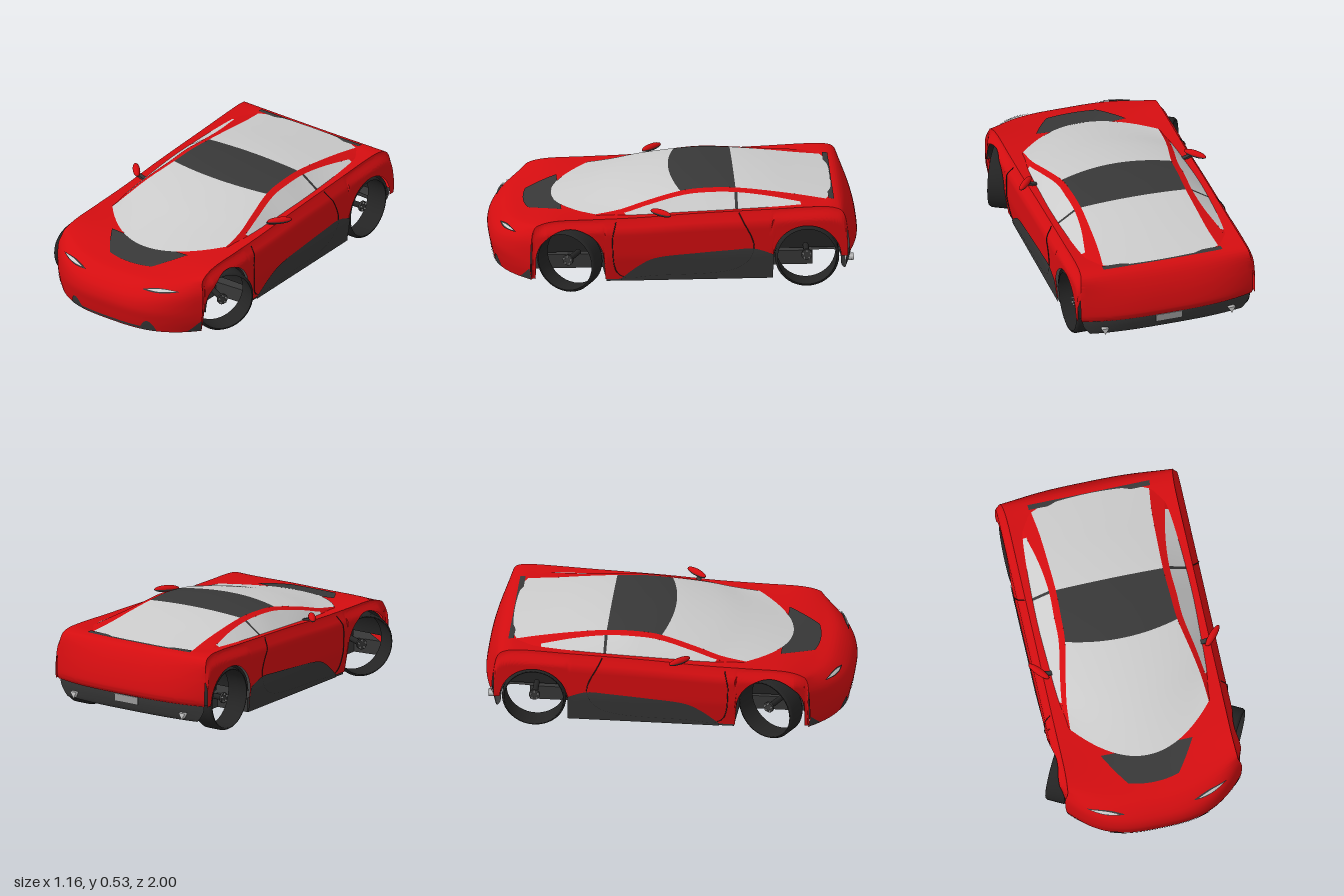
import * as THREE from 'three';
import { mergeGeometries, mergeVertices, toCreasedNormals } from 'three/addons/utils/BufferGeometryUtils.js';

const paint = (name, color) => new THREE.MeshStandardMaterial({ name, color, side: THREE.DoubleSide });
const red = paint('red paint', 0xd40d10);
const trim = paint('dark trim', 0x383838);
const rubber = paint('black rubber', 0x242424);
const glass = paint('pale glass', 0xcccccc);
const metal = paint('grey metal', 0x9a9a9a);

const clamp = (v) => Math.min(1, Math.max(0, v));
const mix = THREE.MathUtils.lerp;

// Smooth interpolation between the rows of a small table
function rowAt(rows, t) {
  const i = Math.min(rows.length - 2, Math.max(0, Math.floor(t))), f = t - i;
  const r = (k) => rows[Math.min(rows.length - 1, Math.max(0, k))];
  return rows[0].map((_, c) => {
    const [a, b, d, e] = [r(i - 1)[c], r(i)[c], r(i + 1)[c], r(i + 2)[c]];
    return b + 0.5 * f * (d - a + f * (2 * a - 5 * b + 4 * d - e + f * (3 * (b - d) + e - a)));
  });
}

// Surface grid from a rule (a, b in 0..1)
function grid(fn, na, nb) {
  const pos = [], idx = [];
  for (let i = 0; i <= na; i++) for (let j = 0; j <= nb; j++) {
    pos.push(...fn(i / na, j / nb));
    if (i < na && j < nb) {
      const p = i * (nb + 1) + j, q = p + nb + 1;
      idx.push(p, p + 1, q, p + 1, q + 1, q);
    }
  }
  const g = new THREE.BufferGeometry();
  g.setAttribute('position', new THREE.Float32BufferAttribute(pos, 3));
  g.setIndex(idx);
  g.computeVertexNormals();
  return g;
}

// Body centre line, nose bottom to tail bottom: z, centre y, edge y, half width, corner sweep
const BODY = [
  [0.975, 0.065, 0.065, 0.475, 0.19], [0.99, 0.13, 0.13, 0.485, 0.195], [1, 0.2, 0.2, 0.49, 0.205],
  [0.975, 0.265, 0.29, 0.49, 0.185], [0.9, 0.325, 0.345, 0.475, 0.12], [0.8, 0.347, 0.378, 0.47, 0.05],
  [0.65, 0.37, 0.4, 0.465, 0], [0.45, 0.388, 0.405, 0.465, 0], [0.2, 0.4, 0.412, 0.465, 0],
  [-0.1, 0.41, 0.43, 0.465, 0], [-0.5, 0.42, 0.445, 0.465, 0], [-0.75, 0.43, 0.455, 0.465, 0],
  [-0.86, 0.443, 0.45, 0.47, 0], [-0.92, 0.415, 0.42, 0.48, -0.01], [-0.97, 0.33, 0.33, 0.49, -0.04],
  [-1, 0.22, 0.22, 0.49, -0.06], [-0.985, 0.18, 0.18, 0.485, -0.055],
];
// Cabin rows: z, centre y, glass edge y, glass half width, rail half width, belt half width, belt y, sweep
const CABIN = [
  [0.66, 0.378, 0.404, 0.385, 0.4, 0.41, 0.397, 0.24], [0.45, 0.43, 0.427, 0.375, 0.398, 0.42, 0.4, 0.17],
  [0.25, 0.478, 0.465, 0.35, 0.378, 0.43, 0.405, 0.12], [0.02, 0.518, 0.503, 0.312, 0.345, 0.437, 0.418, 0.08],
  [-0.15, 0.528, 0.515, 0.303, 0.34, 0.437, 0.425, 0.04], [-0.33, 0.522, 0.51, 0.298, 0.335, 0.435, 0.43, 0],
  [-0.5, 0.505, 0.492, 0.303, 0.35, 0.43, 0.435, 0], [-0.68, 0.478, 0.467, 0.312, 0.385, 0.42, 0.44, 0],
  [-0.86, 0.45, 0.445, 0.33, 0.405, 0.415, 0.44, -0.04],
];
const AXLES = [0.58, -0.71], HUB_Y = 0.175, ARCH = 0.185;

function loft(rows, t, s) {
  const [z, yc, ye, w, sweep] = rowAt(rows, t);
  return [w * s, yc + (ye - yc) * s * s, z - sweep * Math.abs(s) ** 3];
}
const skin = (t, s) => loft(BODY, t, s);

// Flank point at body station t and height y
function flank(t, y, sign, lift = 0) {
  const [w, ye, z] = skin(t, 1);
  const bulge = (0.505 - w) * clamp((0.79 - z) / 0.08) * THREE.MathUtils.smoothstep(ye - y, 0, 0.07);
  return [sign * (w + bulge - 0.02 * clamp((0.2 - y) / 0.14) + lift), y, z];
}
// Lower edge of the flank, cut by the wheel arches
function lowerEdge(z) {
  for (const a of AXLES) if (Math.abs(z - a) < ARCH) return HUB_Y + Math.sqrt(ARCH ** 2 - (z - a) ** 2);
  return z < -0.8 ? 0.18 : 0.065;
}
function bodyPoint(t, q) {
  if (Math.abs(q) <= 1) return skin(t, q);
  const e = skin(t, 1);
  return flank(t, mix(e[1], lowerEdge(e[2]), Math.abs(q) - 1), Math.sign(q));
}
function stationAt(z) {
  let lo = 3, hi = 14;
  for (let i = 0; i < 30; i++) { const m = (lo + hi) / 2; if (skin(m, 1)[2] > z) lo = m; else hi = m; }
  return lo;
}

export function createModel() {
  const car = new THREE.Group();
  car.name = 'sportsCar';
  const add = (name, geo, mat, parent = car) => {
    const m = new THREE.Mesh(geo, mat);
    m.name = name;
    parent.add(m);
    return m;
  };

  // Painted body shell
  const shell = mergeGeometries([
    grid((a, b) => skin(a * 3, b * 2 - 1), 18, 32),
    grid((a, b) => bodyPoint(3 + a * 11, b * 4 - 2), 242, 64),
    grid((a, b) => skin(14 + a * 2, b * 2 - 1), 12, 32),
  ]);
  shell.deleteAttribute('normal');
  add('bodyShell', toCreasedNormals(mergeVertices(shell, 1e-5), 0.8), red);

  // Cabin: windscreen, roof and rear window
  const canopy = (t, s) => {
    const [z, yc, ye, w, , , , sweep] = rowAt(CABIN, t), x = w * s;
    return [x, yc + (ye - yc) * s * s, z - sweep * (x / 0.4) ** 2];
  };
  for (const [name, t0, t1, mat] of [['windscreen', 0, 3, glass], ['roofPanel', 3, 5, trim], ['rearWindow', 5, 8, glass]])
    add(name, grid((a, b) => canopy(mix(t0, t1, a), b * 2 - 1), 24, 24), mat);

  // Cabin sides: rails and side windows
  const cabinSide = (t, k, sign) => {
    const [z, , ye, wg, wr, wb, yb, sweep] = rowAt(CABIN, t);
    const yr = Math.max(yb, ye - 0.012);
    const x = k < 1 ? mix(wg, wr, k) : mix(wr, wb, k - 1);
    const y = k < 1 ? mix(ye, yr, k) : mix(yr, yb, k - 1);
    return [sign * x, y, z - sweep * (x / 0.4) ** 2];
  };
  for (const sign of [1, -1]) {
    const band = (name, t0, t1, k0, k1, mat) =>
      add(name, grid((a, b) => cabinSide(mix(t0, t1, a), mix(k0, k1, sign > 0 ? b : 1 - b), sign), 40, 4), mat);
    band('roofRail', 0, 8, 0, 1, red);
    band('frontPillarFoot', 0, 1, 1, 2, red);
    band('doorWindow', 1, 4.95, 1, 2, glass);
    band('centrePillar', 4.95, 5.05, 1, 2, trim);
    band('quarterWindow', 5.05, 7, 1, 2, glass);
    band('rearPillarFoot', 7, 8, 1, 2, red);
  }

  // Thin plates lying on the body skin
  const plate = (name, mat, s0, s1, lo, hi) => add(name, grid((a, b) => {
    const p = skin(mix(lo(b), hi(b), a), mix(s0, s1, b));
    return [p[0], p[1] + 0.004, p[2] + 0.005];
  }, 8, 20), mat);
  add('bonnetVent', grid((a, b) => {
    const s = (b * 2 - 1) * mix(0.3, 0.55, a);
    const p = skin(mix(4.92 + 0.15 * (b * 2 - 1) ** 2, 6.2, a), s);
    return [p[0], p[1] + 0.005, p[2]];
  }, 12, 16), trim);
  plate('rearDeckTrim', trim, -0.72, 0.72, () => 11.75, () => 12.12);
  plate('lowerGrille', trim, -0.45, 0.45, () => 0.1, () => 0.35);
  for (const s of [1, -1]) {
    const hump = (b) => 0.95 * Math.sin(Math.PI * b) ** 0.7;
    plate('bumperVent', trim, s * 0.4, s * 0.6, () => 0, hump);
    plate('cornerVent', trim, s * 0.88, s, () => 0, (b) => b);
    plate('headlightSurround', trim, s * 0.4, s * 0.8, (b) => 3.42 - 0.1 * Math.sin(Math.PI * b), (b) => 3.45 + 0.2 * Math.sin(Math.PI * b));
    plate('headlight', glass, s * 0.46, s * 0.77, (b) => 3.45 - 0.06 * Math.sin(Math.PI * b), (b) => 3.46 + 0.12 * Math.sin(Math.PI * b))
      .position.set(0, 0.003, 0.003);
  }

  // Dark sill panels and door seams
  const SILL = [[0.3, 0.07], [0.2, 0.15], [0.1, 0.195], [-0.1, 0.215], [-0.3, 0.23], [-0.42, 0.235], [-0.525, 0.2]];
  const SEAM = [[0.33, 0.39], [0.35, 0.28], [0.31, 0.09], [0.1, 0.085], [-0.3, 0.11], [-0.42, 0.24], [-0.34, 0.43]];
  for (const sign of [1, -1]) {
    add('sillPanel', grid((a, b) => {
      const [z, top] = rowAt(SILL, a * 6);
      return flank(stationAt(z), mix(0.055, top, sign > 0 ? 1 - b : b), sign, 0.005);
    }, 36, 6), trim);
    const pts = Array.from({ length: 49 }, (_, i) => {
      const [z, y] = rowAt(SEAM, i / 8);
      return new THREE.Vector3(...flank(stationAt(z), y, sign, 0.003));
    });
    add('doorSeam', new THREE.TubeGeometry(new THREE.CatmullRomCurve3(pts), 96, 0.0025, 4), rubber);
  }

  // Underbody, narrowed between the wheels
  const half = [[0, 0.93], [0.3, 0.89], [0.44, 0.79], [0.28, 0.77], [0.28, 0.39], [0.48, 0.38], [0.48, -0.52], [0.29, -0.53], [0.29, -0.75]];
  const outline = [...half, ...half.slice(1).reverse().map(([x, z]) => [-x, z])].map(([x, z]) => new THREE.Vector2(x, -z));
  const floor = new THREE.ExtrudeGeometry(new THREE.Shape(outline), { depth: 0.08, bevelEnabled: false });
  add('underbody', floor.rotateX(-Math.PI / 2), trim).position.y = 0.052;

  // Rear diffuser running forward under the tail
  const TAIL = [[-0.98, 0.2, 0.2, 0.48, -0.055], [-0.972, 0.14, 0.14, 0.47, -0.05], [-0.95, 0.085, 0.085, 0.43, -0.03],
    [-0.91, 0.1, 0.1, 0.42, -0.01], [-0.88, 0.135, 0.135, 0.3, 0], [-0.7, 0.13, 0.13, 0.29, 0]];
  add('rearDiffuser', grid((a, b) => loft(TAIL, a * 5, b * 2 - 1), 30, 24), trim);
  add('rearPlate', new THREE.BoxGeometry(0.15, 0.042, 0.008), metal).position.set(0, 0.155, -0.979);
  for (const s of [1, -1]) {
    const pipe = add('exhaustTip', new THREE.CylinderGeometry(0.024, 0.024, 0.05, 3), glass);
    pipe.rotation.x = Math.PI / 2;
    pipe.position.set(s * 0.36, 0.12, -0.945);
  }

  // Wheels: hollow tyres, hubs, bolts and arch liners
  const tyreProfile = [[0.16, -0.06], [0.168, -0.058], [0.175, -0.045], [0.175, 0.045], [0.168, 0.058], [0.16, 0.06], [0.163, 0], [0.16, -0.06]]
    .map(([r, y]) => new THREE.Vector2(r, y));
  AXLES.forEach((z, k) => {
    for (const s of [1, -1]) {
      const wheel = new THREE.Group();
      wheel.name = k ? 'rearWheel' : 'frontWheel';
      wheel.position.set(s * (k ? 0.435 : 0.452), HUB_Y, z);
      wheel.rotation.y = k ? 0 : -0.49;
      car.add(wheel);
      add('tyre', new THREE.LatheGeometry(tyreProfile, 40).rotateZ(Math.PI / 2), rubber, wheel);
      add('hub', new THREE.CylinderGeometry(0.03, 0.03, 0.012, 20).rotateZ(Math.PI / 2), trim, wheel).position.x = s * 0.02;
      add('axle', new THREE.CylinderGeometry(0.016, 0.016, 0.13, 12).rotateZ(Math.PI / 2), rubber, wheel).position.x = -s * 0.05;
      for (let i = 0; i < 5; i++) {
        const a = i * Math.PI * 0.4;
        add('wheelBolt', new THREE.CylinderGeometry(0.006, 0.006, 0.012, 8).rotateZ(Math.PI / 2), metal, wheel)
          .position.set(s * 0.028, 0.021 * Math.cos(a), 0.021 * Math.sin(a));
      }
      add('archLiner', grid((a, b) => [s * mix(0.28, 0.49, b), HUB_Y + ARCH * Math.sin(a * Math.PI), z + ARCH * Math.cos(a * Math.PI)], 24, 1), rubber);
      const wall = add('archInnerWall', new THREE.CircleGeometry(ARCH, 24, 0, Math.PI), rubber);
      wall.rotation.y = s * Math.PI / 2;
      wall.position.set(s * 0.28, HUB_Y - 0.03, z);
    }
  });

  // Door mirrors: red cap over a dark base
  for (const s of [1, -1]) {
    const mirror = new THREE.Group();
    mirror.name = 'doorMirror';
    mirror.position.set(s * 0.483, 0.443, 0.085);
    mirror.rotation.y = s * 0.85;
    car.add(mirror);
    add('mirrorCap', new THREE.SphereGeometry(1, 20, 8, 0, Math.PI * 2, 0, Math.PI / 2), red, mirror).scale.set(0.07, 0.02, 0.02);
    add('mirrorBase', new THREE.SphereGeometry(1, 20, 8, 0, Math.PI * 2, Math.PI / 2, Math.PI / 2), trim, mirror).scale.set(0.07, 0.018, 0.02);
    const arm = add('mirrorArm', new THREE.BoxGeometry(0.06, 0.012, 0.025), trim);
    arm.position.set(s * 0.443, 0.424, 0.1);
    arm.rotation.z = s * 0.3;
  }
  return car;
}
